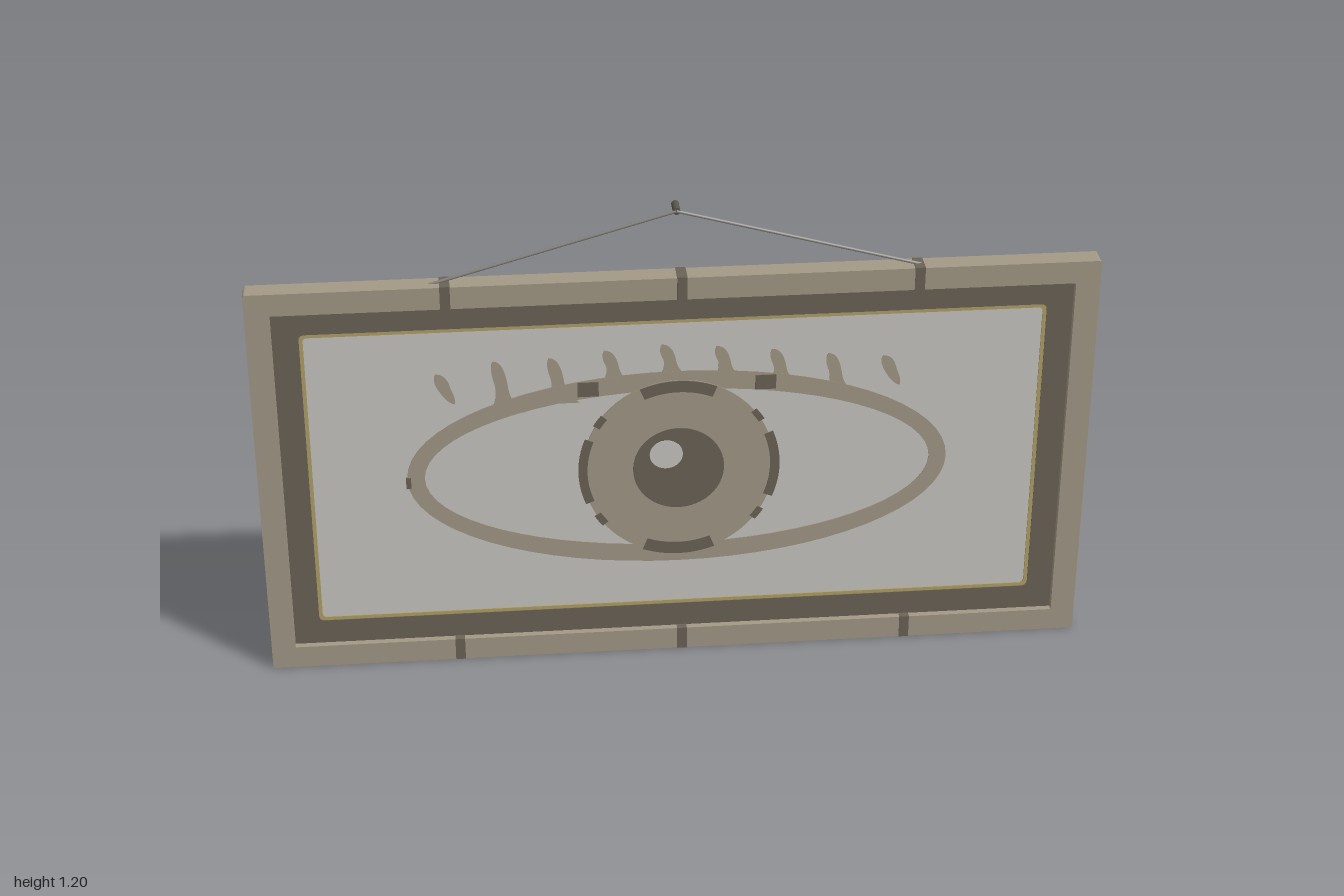
import * as THREE from 'three';

const mat = (name, color, side = THREE.FrontSide) => {
  const m = new THREE.MeshStandardMaterial({ color, side });
  m.name = name;
  return m;
};

export function createModel() {
  const model = new THREE.Group();
  model.name = 'framedEyePicture';
  const tan = mat('tanWood', 0xa39986);
  const dark = mat('darkWood', 0x6b6357);
  const white = mat('canvasWhite', 0xc9c7c3);
  const gold = mat('goldTrim', 0xb0a068);
  const grey = mat('wireGrey', 0x85837e);
  const iron = mat('nailIron', 0x5a554d);

  const add = (name, geo, material, parent = model) => {
    const mesh = new THREE.Mesh(geo, material);
    mesh.name = name;
    parent.add(mesh);
    return mesh;
  };
  const box = (name, x0, x1, y0, y1, z0, z1, material, parent) => {
    const m = add(name, new THREE.BoxGeometry(x1 - x0, y1 - y0, z1 - z0), material, parent);
    m.position.set((x0 + x1) / 2, (y0 + y1) / 2, (z0 + z1) / 2);
    return m;
  };
  // Flat shape extruded between two depths
  const slab = (name, shape, z0, z1, material, parent) => {
    const geo = new THREE.ExtrudeGeometry(shape, { depth: z1 - z0, bevelEnabled: false, curveSegments: 32 });
    geo.translate(0, 0, z0);
    return add(name, geo, material, parent);
  };
  const roundRect = (w, y0, y1, r, Type = THREE.Shape) => {
    const s = new Type();
    s.moveTo(-w + r, y0);
    s.lineTo(w - r, y0);
    s.quadraticCurveTo(w, y0, w, y0 + r);
    s.lineTo(w, y1 - r);
    s.quadraticCurveTo(w, y1, w - r, y1);
    s.lineTo(-w + r, y1);
    s.quadraticCurveTo(-w, y1, -w, y1 - r);
    s.lineTo(-w, y0 + r);
    s.quadraticCurveTo(-w, y0, -w + r, y0);
    return s;
  };
  const ellipse = (x, y, a, b, Type = THREE.Shape) => new Type().absellipse(x, y, a, b, 0, Math.PI * 2);
  const withHole = (shape, hole) => {
    shape.holes.push(hole);
    return shape;
  };

  // Backing board, outer frame, mount and canvas
  box('backBoard', -0.985, 0.982, 0.018, 1.012, -0.038, -0.012, dark);
  slab('outerFrame', withHole(roundRect(1, 0, 1.028, 0.008), roundRect(0.942, 0.058, 0.972, 0.002, THREE.Path)),
    -0.012, 0.041, tan);
  slab('darkMount', withHole(roundRect(0.942, 0.058, 0.972, 0.002), roundRect(0.88, 0.122, 0.912, 0.015, THREE.Path)),
    -0.012, 0.025, dark);
  slab('goldEdge', withHole(roundRect(0.88, 0.122, 0.912, 0.015), roundRect(0.871, 0.131, 0.903, 0.012, THREE.Path)),
    -0.012, 0.0235, gold);
  slab('canvas', roundRect(0.871, 0.131, 0.903, 0.012), -0.012, 0.02, white);

  // Dark splice bands wrapped round the top and bottom rails
  for (const x of [-0.538, 0.012, 0.57]) {
    box('topBand', x - 0.012, x + 0.012, 0.971, 1.03, -0.0125, 0.0425, dark);
    box('bottomBand', x - 0.012, x + 0.012, 0, 0.059, -0.0125, 0.0425, dark);
  }

  // Painted eye
  const eye = new THREE.Group();
  eye.name = 'eye';
  model.add(eye);
  const cx = 0.005, cy = 0.51;
  slab('eyeOutline', withHole(ellipse(cx, cy, 0.652, 0.264), ellipse(cx, cy, 0.61, 0.215, THREE.Path)),
    0.019, 0.0225, tan, eye);
  slab('iris', ellipse(cx, cy, 0.232, 0.24), 0.019, 0.024, tan, eye);
  slab('pupil', ellipse(cx, cy, 0.11, 0.11), 0.0235, 0.026, dark, eye);
  slab('highlight', ellipse(-0.025, 0.55, 0.04, 0.038), 0.0255, 0.028, white, eye);

  // Dark shading arcs round the rim of the iris
  const arc = (name, angle, half, r0, r1) => {
    const s = new THREE.Shape();
    s.absarc(cx, cy, r1, angle - half, angle + half, false);
    s.absarc(cx, cy, r0, angle + half, angle - half, true);
    s.closePath();
    slab(name, s, 0.0235, 0.0255, dark, eye);
  };
  arc('upperShade', Math.PI / 2, 0.4, 0.208, 0.238);
  arc('lowerShade', -Math.PI / 2, 0.37, 0.21, 0.242);
  arc('leftShade', Math.PI, 0.38, 0.22, 0.242);
  arc('rightShade', 0, 0.38, 0.222, 0.245);
  for (const a of [0.62, -0.62]) {
    arc('leftFleck', Math.PI + a, 0.07, 0.222, 0.24);
    arc('rightFleck', a, 0.07, 0.226, 0.242);
  }
  box('leftLidShade', -0.235, -0.185, 0.716, 0.754, 0.021, 0.0245, dark, eye);
  box('rightLidShade', 0.188, 0.238, 0.716, 0.754, 0.021, 0.0245, dark, eye);
  box('cornerShade', -0.65, -0.638, 0.485, 0.515, 0.021, 0.0245, dark, eye);

  // Lashes: [tip x, tip y, base y, joined to the lid]
  const lashes = [
    [-0.56, 0.792, 0.71, false], [-0.425, 0.82, 0.68, true], [-0.293, 0.822, 0.7, true],
    [-0.162, 0.836, 0.74, true], [-0.026, 0.846, 0.75, true], [0.104, 0.836, 0.74, true],
    [0.236, 0.822, 0.72, true], [0.37, 0.804, 0.69, true], [0.502, 0.792, 0.71, false],
  ];
  for (const [x, top, base, joined] of lashes) {
    const s = new THREE.Shape();
    const mid = (top + base) / 2;
    s.moveTo(x - 0.008, top);
    s.quadraticCurveTo(x + 0.018, top, x + 0.026, mid);
    if (joined) {
      s.quadraticCurveTo(x + 0.032, base + 0.02, x + 0.065, base);
      s.lineTo(x - 0.025, base);
      s.quadraticCurveTo(x + 0.004, base + 0.03, x - 0.006, mid + 0.01);
    } else {
      s.quadraticCurveTo(x + 0.038, base + 0.015, x + 0.034, base);
      s.quadraticCurveTo(x + 0.015, base + 0.005, x - 0.004, mid);
    }
    s.quadraticCurveTo(x - 0.018, top - 0.015, x - 0.008, top);
    slab('lash', s, 0.019, 0.0222, tan, eye);
  }

  // Hanging wire over a nail
  const peak = new THREE.Vector3(0, 1.191, 0.024);
  for (const x of [-0.575, 0.585]) {
    const path = new THREE.LineCurve3(new THREE.Vector3(x, 1.024, 0.015), peak);
    add('hangingWire', new THREE.TubeGeometry(path, 1, 0.004, 8), grey);
  }
  const nail = add('nail', new THREE.CylinderGeometry(0.009, 0.009, 0.043, 12), iron);
  nail.rotation.x = Math.PI / 2;
  nail.position.set(0, 1.191, 0.004);

  return model;
}
